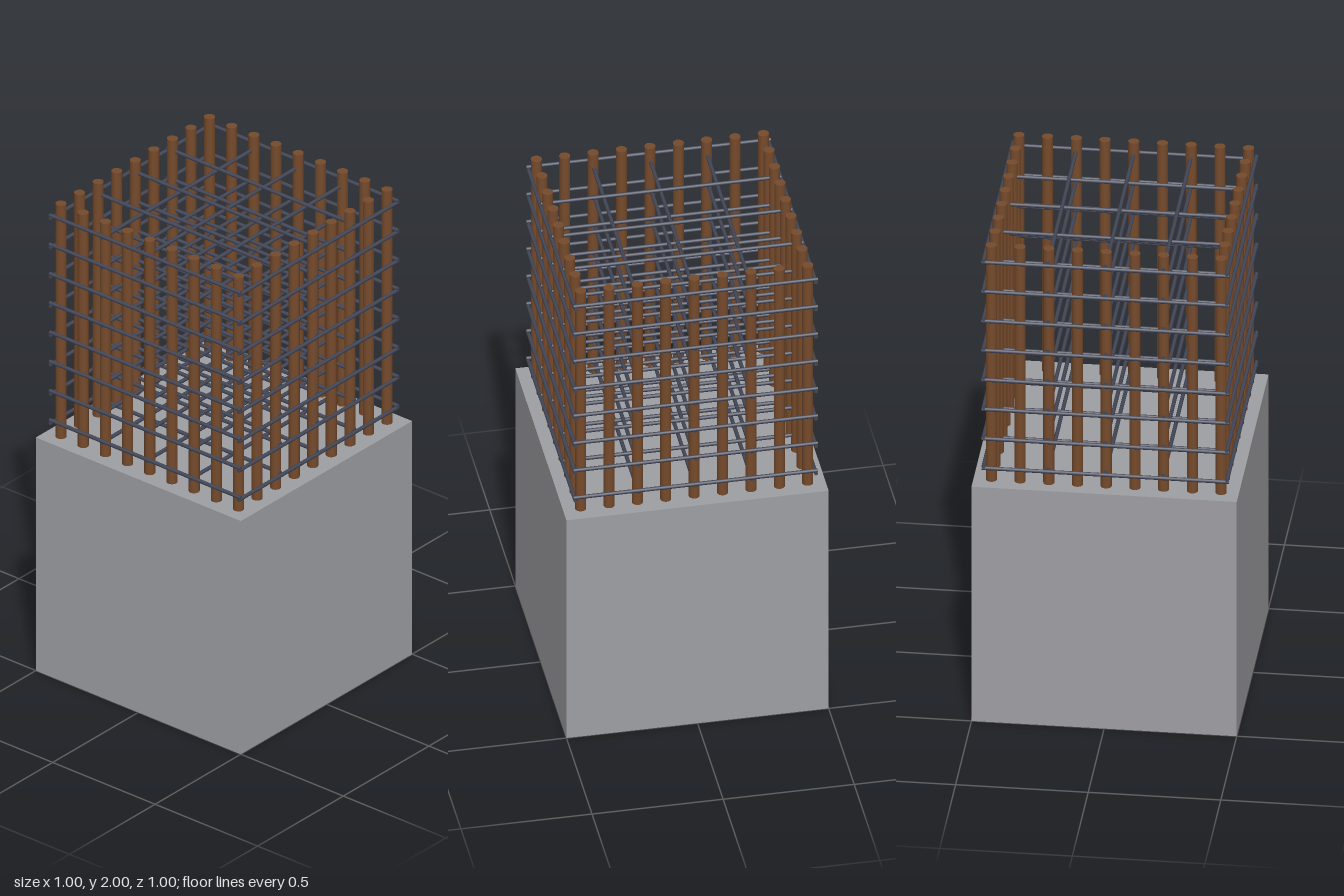
import * as THREE from 'three';

export function createModel() {
  const model = new THREE.Group();
  const concrete = new THREE.MeshStandardMaterial({ name: 'concrete grey', color: 0x9e9fa3 });
  const rust = new THREE.MeshStandardMaterial({ name: 'rusty brown', color: 0x754a2b });
  const steel = new THREE.MeshStandardMaterial({ name: 'dark steel', color: 0x434757 });

  function add(parent, name, geometry, material, x, y, z) {
    const mesh = new THREE.Mesh(geometry, material);
    mesh.name = name;
    mesh.position.set(x, y, z);
    parent.add(mesh);
    return mesh;
  }

  // Concrete block
  add(model, 'concreteBlock', new THREE.BoxGeometry(1, 1, 1), concrete, 0, 0.5, 0);

  // Upright bars around the perimeter, set into the block
  const bars = new THREE.Group();
  bars.name = 'verticalBars';
  model.add(bars);
  const half = 0.433, step = half / 4;
  const barGeometry = new THREE.CylinderGeometry(0.021, 0.021, 1.99, 16);
  for (let i = -4; i <= 4; i++) {
    for (let j = -4; j <= 4; j++) {
      if (Math.max(Math.abs(i), Math.abs(j)) < 4) continue;
      add(bars, 'verticalBar', barGeometry, rust, i * step, 1.005, j * step);
    }
  }

  // Horizontal layers: outer hoop rods and inner ties, one direction resting on the other
  const rodRadius = 0.0075;
  const hoopGeometry = new THREE.CylinderGeometry(rodRadius, rodRadius, 0.932, 8);
  const tieGeometry = new THREE.CylinderGeometry(rodRadius, rodRadius, 0.916, 8);
  for (let level = 0; level < 8; level++) {
    const layer = new THREE.Group();
    layer.name = 'hoopLayer';
    layer.position.y = 1.06 + level * 0.1255;
    model.add(layer);
    for (const offset of [-0.459, -0.2165, 0, 0.2165, 0.459]) {
      const outer = Math.abs(offset) > 0.4;
      const geometry = outer ? hoopGeometry : tieGeometry;
      const name = outer ? 'hoopRod' : 'crossTie';
      add(layer, name, geometry, steel, 0, 0.01, offset).rotation.z = Math.PI / 2;
      add(layer, name, geometry, steel, offset, 0, 0).rotation.x = Math.PI / 2;
    }
  }
  return model;
}
